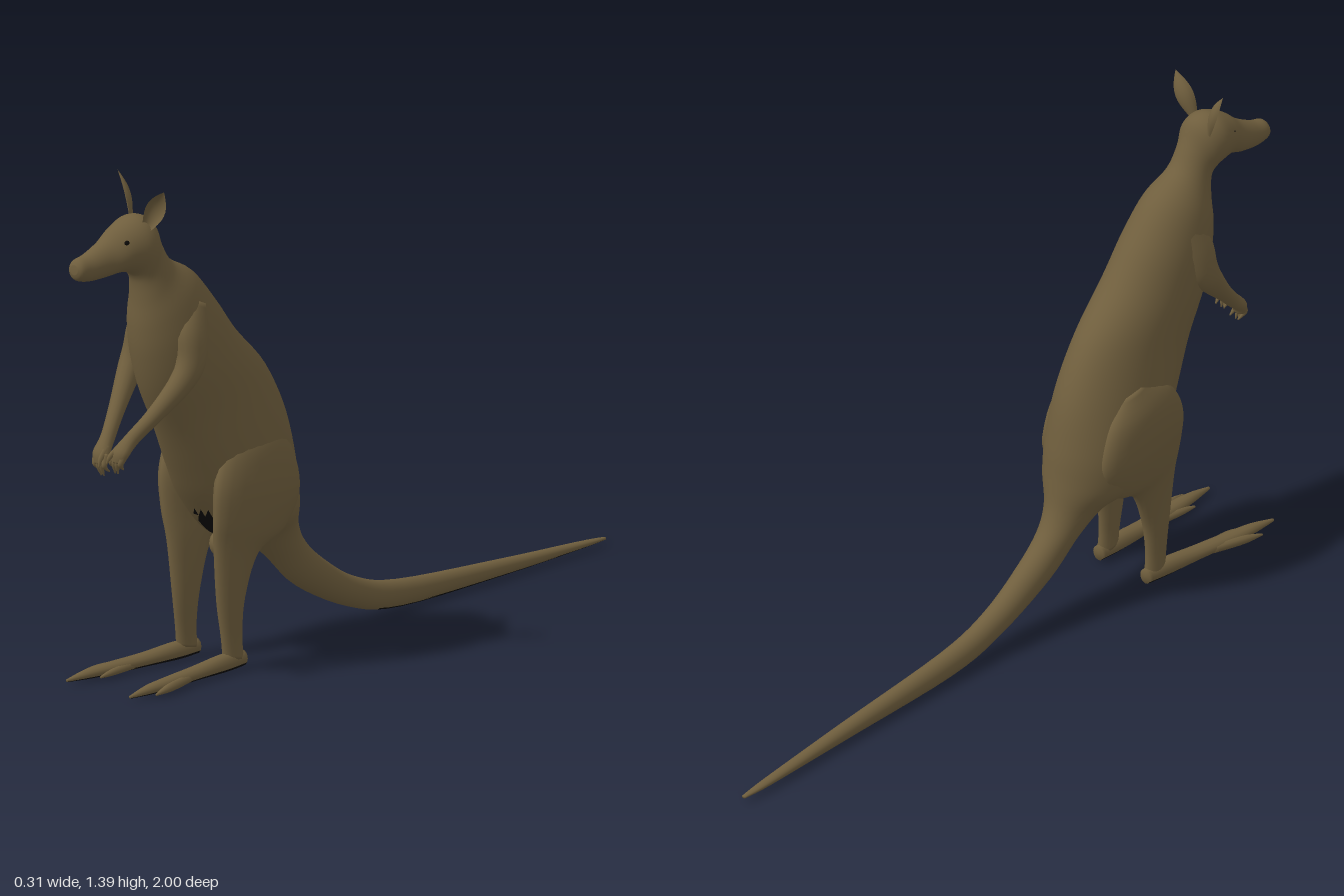
import * as THREE from 'three';

const fur = new THREE.MeshStandardMaterial({ color: 0x6f5e3d });
fur.name = 'brownFur';
const earFur = new THREE.MeshStandardMaterial({ color: 0x6f5e3d, side: THREE.DoubleSide });
earFur.name = 'brownEarFur';
const dark = new THREE.MeshStandardMaterial({ color: 0x0c0a08 });
dark.name = 'blackSkin';

const catmull = (a, b, c, d, t) =>
  0.5 * (2 * b + (c - a) * t + (2 * a - 5 * b + 4 * c - d) * t * t + (3 * b - a - 3 * c + d) * t * t * t);

// Smooth skin through rings [x, backZ, backY, frontZ, frontY, halfWidth];
// faces for which isDark(centre, normal) holds become black skin
function loft(name, rings, sides = 24, isDark = () => false) {
  const at = i => rings[Math.min(rings.length - 1, Math.max(0, i))];
  const fine = [], steps = 5;
  for (let i = 0; i < rings.length - 1; i++)
    for (let s = 0; s < steps; s++)
      fine.push(rings[0].map((_, k) => catmull(at(i - 1)[k], at(i)[k], at(i + 1)[k], at(i + 2)[k], s / steps)));
  fine.push(at(rings.length - 1));
  // close both ends with a collapsed ring
  const point = r => [r[0], (r[1] + r[3]) / 2, (r[2] + r[4]) / 2, (r[1] + r[3]) / 2, (r[2] + r[4]) / 2, 0];
  const all = [point(fine[0]), ...fine, point(fine[fine.length - 1])];
  const verts = all.flatMap(([x, bz, by, fz, fy, w]) => Array.from({ length: sides }, (_, j) => {
    const c = Math.cos(j / sides * Math.PI * 2), s = Math.sin(j / sides * Math.PI * 2);
    return new THREE.Vector3(x + w * s, (by + fy) / 2 + (by - fy) / 2 * c, (bz + fz) / 2 + (bz - fz) / 2 * c);
  }));
  const brown = [], black = [], tri = new THREE.Triangle();
  for (let i = 0; i < all.length - 1; i++)
    for (let j = 0; j < sides; j++) {
      const p = i * sides + j, p1 = i * sides + (j + 1) % sides;
      for (const f of [[p, p1, p1 + sides], [p, p1 + sides, p + sides]]) {
        tri.set(...f.map(k => verts[k]));
        const hit = isDark(tri.getMidpoint(new THREE.Vector3()), tri.getNormal(new THREE.Vector3()));
        (hit ? black : brown).push(...f);
      }
    }
  const g = new THREE.BufferGeometry().setFromPoints(verts);
  g.setIndex([...brown, ...black]);
  g.addGroup(0, brown.length, 0);
  if (black.length) g.addGroup(brown.length, black.length, 1);
  g.computeVertexNormals();
  const mesh = new THREE.Mesh(g, [fur, dark]);
  mesh.name = name;
  return mesh;
}

// Limb along points [x, y, z, halfWidth, halfDepth], rings square to the path
function limb(name, pts, sides = 12, isDark) {
  return loft(name, pts.map(([x, y, z, w, d = w], i) => {
    const a = pts[Math.max(0, i - 1)], b = pts[Math.min(pts.length - 1, i + 1)];
    const ty = b[1] - a[1], tz = b[2] - a[2], l = Math.hypot(ty, tz) || 1;
    const ay = -tz / l * d, az = ty / l * d;
    return [x, z + az, y + ay, z - az, y - ay, w];
  }), sides, isDark);
}

// Cupped leaf-shaped ear, base at the origin, growing along +y and open to +z
function ear(name, length, width) {
  const g = new THREE.PlaneGeometry(2, 1, 8, 12);
  const p = g.attributes.position;
  for (let i = 0; i < p.count; i++) {
    const u = p.getX(i), v = p.getY(i) + 0.5;
    const w = width * (0.45 * (1 - v) + Math.sin(Math.PI * Math.pow(v, 1.1)) * 0.8) * 0.6;
    p.setXYZ(i, w * Math.sin(u * 1.35), v * length, -w * 0.8 * Math.cos(u * 1.35));
  }
  g.computeVertexNormals();
  const mesh = new THREE.Mesh(g, earFur);
  mesh.name = name;
  return mesh;
}

function ball(name, material, x, y, z, rx, ry, rz) {
  const mesh = new THREE.Mesh(new THREE.SphereGeometry(1, 16, 12), material);
  mesh.name = name;
  mesh.position.set(x, y, z);
  mesh.scale.set(rx, ry, rz);
  return mesh;
}

// Black skin under the tail and in the crotch, and on the soles
const bodyDark = (c, n) => (c.z < -.1 && n.y < -.7) ||
  (c.z > .38 && c.y > .33 && c.y < .43 && n.y < -.2 && Math.abs(c.x - .02) < .032);
const soleDark = (c, n) => n.y < -.5;

export function createModel() {
  const model = new THREE.Group();
  model.name = 'kangaroo';

  // Head, neck, torso and tail in one skin
  model.add(loft('headBodyAndTail', [
    [-.028, .996, 1.189, .998, 1.164, .013],
    [-.028, .984, 1.203, .988, 1.146, .026],
    [-.024, .95, 1.213, .95, 1.137, .031],
    [-.014, .90, 1.24, .90, 1.14, .04],
    [0, .86, 1.275, .86, 1.148, .055],
    [.008, .81, 1.297, .825, 1.14, .067],
    [.014, .765, 1.28, .81, 1.125, .065],
    [.018, .735, 1.22, .803, 1.10, .055],
    [.018, .695, 1.16, .80, 1.05, .064],
    [.016, .61, 1.11, .80, .98, .09],
    [.016, .53, 1.02, .79, .90, .106],
    [.015, .45, .92, .76, .80, .112],
    [.01, .33, .80, .70, .68, .114],
    [.005, .255, .66, .64, .56, .128],
    [.001, .222, .52, .58, .46, .138],
    [.003, .21, .42, .49, .355, .122],
    [.005, .195, .335, .385, .32, .075],
    [.008, .16, .27, .29, .25, .052],
    [.015, .09, .205, .18, .145, .043],
    [.02, -.03, .13, -.01, .05, .034],
    [.022, -.2, .085, -.2, .01, .03],
    [.024, -.6, .055, -.6, .01, .022],
    [.02, -.9, .036, -.9, .016, .014],
    [.02, -.998, .028, -.998, .02, .006],
  ], 40, bodyDark));

  for (const [side, left] of [['left', true], ['right', false]]) {
    // the right side mirrors the left about middle, leaning outward beyond a start height or depth
    const flip = (pts, middle = .012, lean = 0, from = 0) => pts.map(([x, ...r]) =>
      [left ? x : 2 * middle - x - lean * Math.max(0, r[1] - from), ...r]);

    // Hind leg
    model.add(loft(side + 'HindLeg', flip([
      [.075, .36, .66, .44, .68, .02],
      [.092, .30, .58, .54, .62, .045],
      [.102, .275, .46, .586, .53, .052],
      [.102, .33, .36, .592, .43, .044],
      [.095, .425, .31, .583, .34, .035],
      [.092, .473, .20, .57, .20, .027],
      [.094, .485, .10, .556, .10, .021],
      [.095, .48, .03, .55, .045, .021],
    ], .012, .11, .28), 20));

    // Foot with one long toe and two side toes
    const foot = new THREE.Group();
    foot.name = side + 'Foot';
    const toe = (name, sides, pts) => foot.add(limb(name, flip(pts, .012, .12, .5), sides, soleDark));
    toe('sole', 12, [
      [.095, .031, .478, .018, .022], [.095, .031, .55, .024, .025], [.095, .027, .66, .024, .019],
      [.099, .024, .78, .022, .016], [.10, .022, .85, .016, .013], [.10, .017, .918, .004, .004],
    ]);
    toe('outerToe', 8, [[.108, .024, .70, .012], [.124, .021, .79, .012], [.131, .015, .85, .003]]);
    toe('innerToe', 8, [[.088, .024, .69, .012], [.077, .02, .78, .01], [.071, .015, .83, .003]]);
    model.add(foot);

    // Arm and clawed hand; the right hand hangs slightly lower
    const arm = new THREE.Group();
    arm.name = side + 'Arm';
    const drop = left ? 0 : .015;
    arm.add(limb('foreLimb', flip([
      [.075, 1.04, .645, .033, .04], [.098, .96, .68, .041, .055], [.113, .885, .70, .036, .045],
      [.109, .83, .74, .031, .034], [.085, .76 - drop / 2, .81, .023], [.062, .705 - drop, .87, .02],
      [.053, .67 - drop, .905, .026, .018], [.049, .645 - drop, .912, .02, .012],
    ], .018), 14));
    for (let i = -1.5; i <= 1.5; i++) {
      const k = i * .011;
      arm.add(limb('claw', flip([
        [.05 + k, .675 - drop, .905, .009], [.047 + k, .645 - drop, .916, .008],
        [.043 + k * .9, .61 - drop + Math.abs(k), .914 - Math.abs(k), .002],
      ], .018), 6));
    }
    arm.add(limb('thumb', flip([
      [.044, .69 - drop, .89, .01], [.036, .665 - drop, .925, .007], [.032, .645 - drop, .935, .002],
    ], .018), 6));
    model.add(arm);

    // Ear, turned outward; the head is turned slightly to its right
    const e = ear(side + 'Ear', left ? .135 : .14, left ? .046 : .04);
    e.position.set(left ? .054 : -.034, 1.262, left ? .81 : .775);
    e.rotation.set(0, left ? .35 : -.75, left ? -.52 : .32, 'ZYX');
    model.add(e);

    // Eye
    model.add(ball(side + 'Eye', dark, left ? .044 : -.046, 1.238, left ? .87 : .85, .006, .006, .008));
  }

  // Small sac hanging between the hind legs
  model.add(ball('scrotum', fur, 0, .32, .465, .03, .035, .025));
  model.add(limb('scrotumStem', [[.003, .39, .43, .014], [.002, .36, .445, .014], [0, .33, .46, .02]], 10));

  return model;
}
